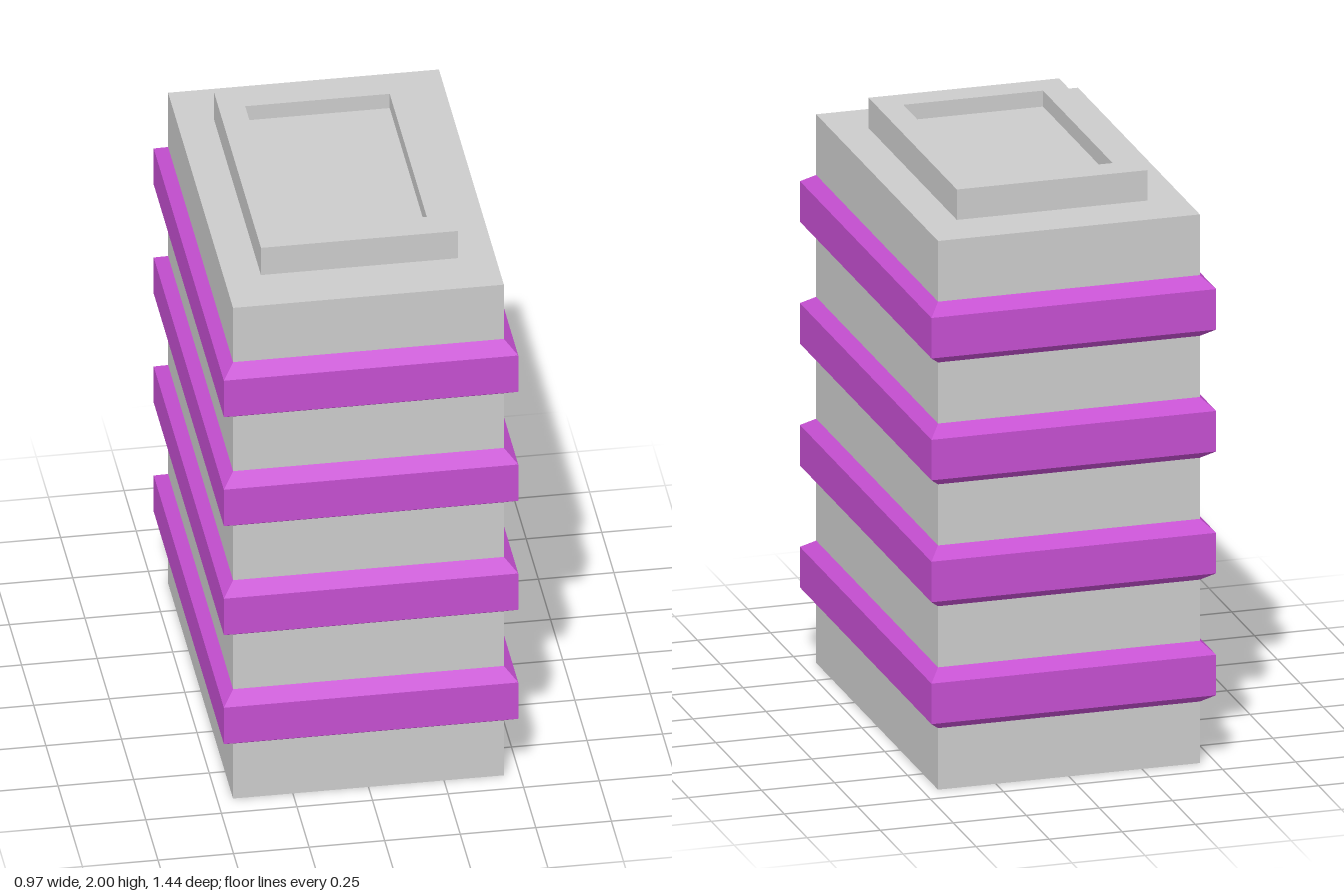
import * as THREE from 'three';

// Open sleeve through rectangular sections [halfWidth, y, halfDepth], listed bottom to top
function sleeve(sections) {
  const corners = [[1, 1], [1, -1], [-1, -1], [-1, 1]];
  const point = ([w, y, d], k) => [corners[k % 4][0] * w, y, corners[k % 4][1] * d];
  const pos = [];
  for (let i = 0; i < sections.length - 1; i++) {
    for (let k = 0; k < 4; k++) {
      const a = point(sections[i], k), b = point(sections[i], k + 1);
      const c = point(sections[i + 1], k + 1), d = point(sections[i + 1], k);
      pos.push(...a, ...b, ...c, ...a, ...c, ...d);
    }
  }
  const geo = new THREE.BufferGeometry();
  geo.setAttribute('position', new THREE.Float32BufferAttribute(pos, 3));
  geo.computeVertexNormals();
  return geo;
}

export function createModel() {
  const group = new THREE.Group();
  const grey = new THREE.MeshStandardMaterial({ color: 0xcccccc, side: THREE.DoubleSide });
  grey.name = 'light grey';
  const purple = new THREE.MeshStandardMaterial({ color: 0xc54fd1, side: THREE.DoubleSide });
  purple.name = 'purple';

  const add = (name, geo, mat) => {
    const mesh = new THREE.Mesh(geo, mat);
    mesh.name = name;
    group.add(mesh);
    return mesh;
  };

  const W = 0.448, D = 0.667;      // body half sizes
  const bandW = 0.487, bandD = 0.72;
  const top = 1.895, bandHeight = 0.21, bevel = 0.035;

  // Hollow body, open below: grey walls alternating with bevelled bands
  let y = 0;
  for (let i = 0; i < 4; i++) {
    const y0 = 0.2125 + i * 0.421, y1 = y0 + bandHeight;
    add('wall' + (i + 1), sleeve([[W, y, D], [W, y0, D]]), grey);
    add('band' + (i + 1), sleeve([
      [W, y0, D], [bandW, y0 + bevel, bandD],
      [bandW, y1 - bevel, bandD], [W, y1, D],
    ]), purple);
    y = y1;
  }

  // Upper wall, shoulder, raised rim and recess sides
  const floorY = 1.945, recessW = 0.239, recessD = 0.381;
  add('upperWallAndRim', sleeve([
    [W, y, D], [W, top, D],
    [0.326, top, 0.483], [0.326, 2, 0.483],
    [recessW, 2, recessD], [recessW, floorY, recessD],
  ]), grey);

  // Recess floor
  const floor = new THREE.PlaneGeometry(recessW * 2, recessD * 2).rotateX(-Math.PI / 2);
  add('recessFloor', floor, grey).position.y = floorY;

  return group;
}
